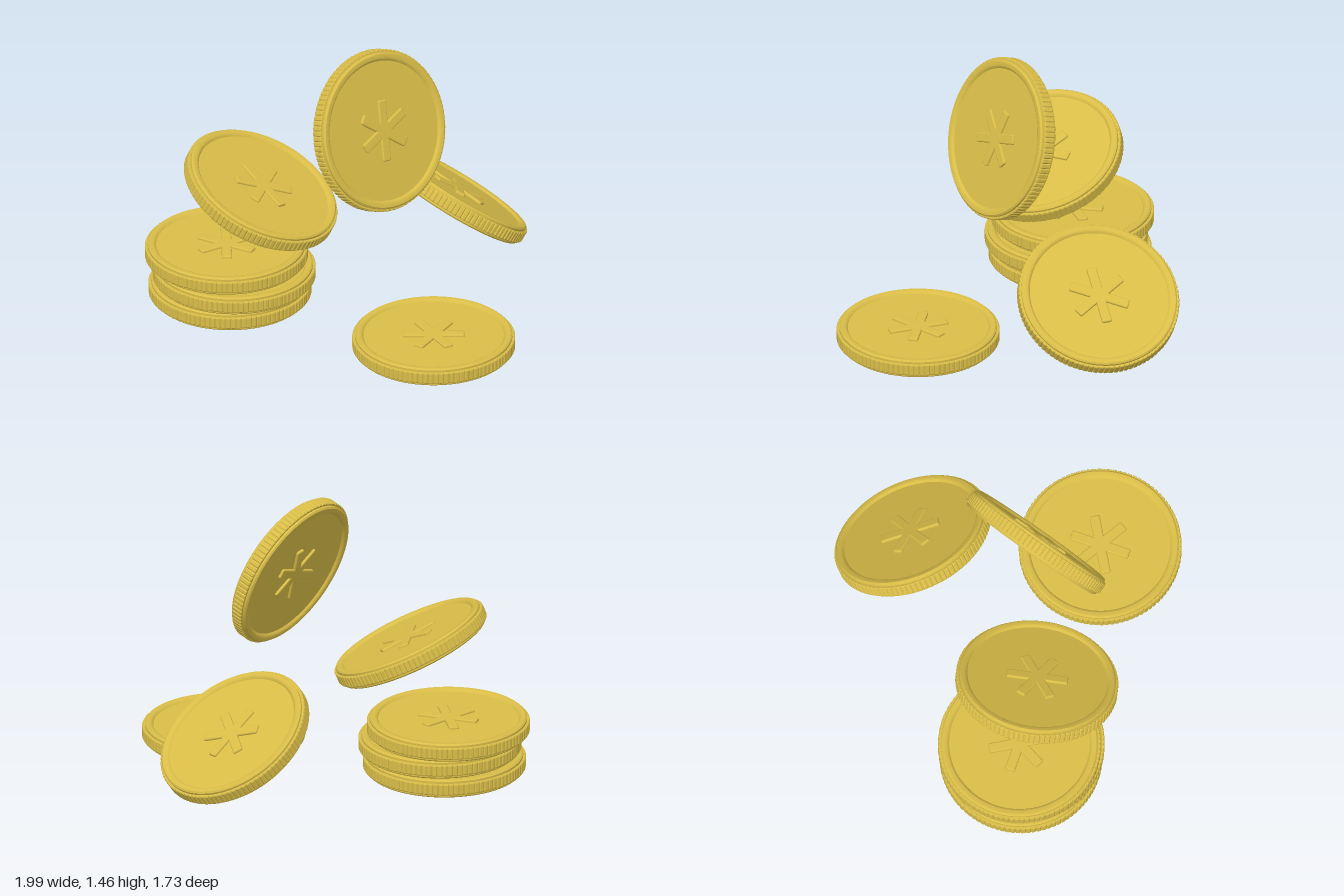
import * as THREE from 'three';
import { mergeGeometries, toCreasedNormals } from 'three/addons/utils/BufferGeometryUtils.js';
import { RoundedBoxGeometry } from 'three/addons/geometries/RoundedBoxGeometry.js';

const RADIUS = 0.416, HALF = 0.048, FIELD = 0.034, REEDS = 96;

// Lathed disc: raised lip around a recessed field, the same on both faces
function discGeometry() {
  const upper = [[0.402, 0.03], [0.402, 0.041], [0.394, HALF], [0.374, HALF], [0.366, 0.044], [0.359, FIELD], [0, FIELD]];
  const lower = upper.map(([r, y]) => [r, -y]).reverse();
  const profile = [...lower, ...upper].map(([r, y]) => new THREE.Vector2(r, y));
  return toCreasedNormals(new THREE.LatheGeometry(profile, 96), 0.5);
}

// Reeded band around the edge, drawn as a toothed ring
function reedGeometry() {
  const shape = new THREE.Shape();
  const step = (Math.PI * 2) / REEDS;
  for (let i = 0; i < REEDS; i++) {
    [[0, RADIUS - 0.008], [0.2, RADIUS - 0.003], [0.7, RADIUS - 0.003], [0.9, RADIUS - 0.008]].forEach(([t, r], k) => {
      const a = (i + t) * step;
      shape[i + k ? 'lineTo' : 'moveTo'](r * Math.cos(a), r * Math.sin(a));
    });
  }
  shape.closePath();
  const hole = new THREE.Path();
  hole.absarc(0, 0, 0.39, 0, Math.PI * 2, true);
  shape.holes.push(hole);
  const geo = new THREE.ExtrudeGeometry(shape, {
    depth: 0.05, bevelEnabled: true, bevelThickness: 0.005, bevelSize: 0.003, bevelSegments: 1, curveSegments: 48,
  });
  return geo.translate(0, 0, -0.025).rotateX(-Math.PI / 2);
}

// Six-armed emblem made of three crossed bars
function emblemGeometry() {
  const bars = [];
  for (let i = 0; i < 3; i++) {
    bars.push(new RoundedBoxGeometry(0.315, 0.026, 0.052, 2, 0.008).rotateY((i * Math.PI) / 3));
  }
  return mergeGeometries(bars);
}

export function createModel() {
  const model = new THREE.Group();
  model.name = 'coins';
  const gold = new THREE.MeshStandardMaterial({ color: 0xd9bd48 });
  gold.name = 'gold';

  const disc = discGeometry(), reeds = reedGeometry(), emblem = emblemGeometry();

  function addPart(parent, name, geometry, y = 0) {
    const mesh = new THREE.Mesh(geometry, gold);
    mesh.name = name;
    mesh.position.y = y;
    parent.add(mesh);
  }

  // A coin is tilted about x and z after being spun about its own axis
  function addCoin(name, position, tiltX, tiltZ, spin) {
    const coin = new THREE.Group();
    coin.name = name;
    coin.position.set(...position);
    coin.rotation.set(tiltX, 0, tiltZ);
    const body = new THREE.Group();
    body.name = name + 'Body';
    body.rotation.y = spin;
    addPart(body, 'disc', disc);
    addPart(body, 'reededEdge', reeds);
    addPart(body, 'topEmblem', emblem, FIELD);
    addPart(body, 'bottomEmblem', emblem, -FIELD);
    coin.add(body);
    model.add(coin);
  }

  // Stack of three
  addCoin('stackBottomCoin', [-0.567, 0.048, -0.385], 0, 0, 0.1);
  addCoin('stackMiddleCoin', [-0.55, 0.148, -0.365], 0, 0, 0.6);
  addCoin('stackTopCoin', [-0.582, 0.248, -0.4], 0, 0, 0.3);
  // Coin lying flat
  addCoin('flatCoin', [0.297, 0.048, 0.447], 0, 0, -0.24);
  // Tumbling coins
  addCoin('leftFallingCoin', [-0.442, 0.658, -0.24], 0.28, -0.35, -0.06);
  addCoin('topFallingCoin', [0.12, 1.06, 0.008], 1.2, -0.467, Math.PI / 6);
  addCoin('rightFallingCoin', [0.632, 0.39, -0.452], -0.15, -0.6, 0.3);

  return model;
}
